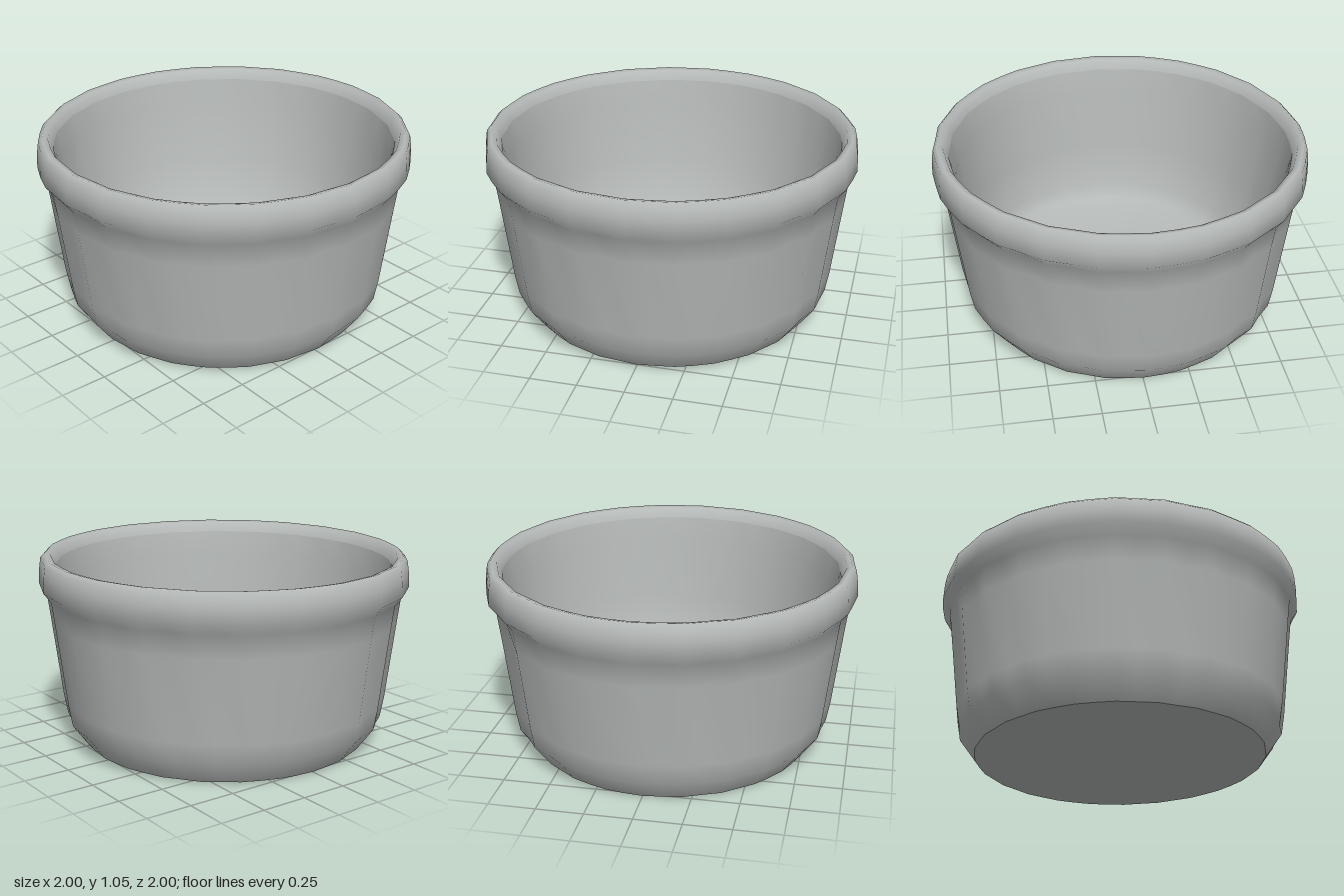
import * as THREE from 'three';
import { toCreasedNormals } from 'three/addons/utils/BufferGeometryUtils.js';

const SIDES = 48;

// Lathe a [radius, height, fluteDepth, offset] profile, then press uneven flutes into it.
function flutedLathe(rings) {
  const geometry = new THREE.LatheGeometry(rings.map(([r, y]) => new THREE.Vector2(r, y)), SIDES);
  const pos = geometry.attributes.position;
  for (let i = 0; i < pos.count; i++) {
    const [radius, height, depth, offset = 0] = rings[i % rings.length];
    const step = Math.floor(i / rings.length) % SIDES;
    const angle = (step / SIDES) * Math.PI * 2;
    const uneven = 0.65 + 0.35 * Math.sin(angle * 5 + 1);
    const r = radius * (1 - (step % 2) * depth * uneven);
    const x = r * Math.sin(angle) + offset;
    const z = r * Math.cos(angle) + offset;
    // the whole dish leans very slightly to one side
    pos.setXYZ(i, x, height + 0.01 * x, z);
  }
  geometry.deleteAttribute('normal');
  return toCreasedNormals(geometry, 1.2);
}

export function createModel() {
  const group = new THREE.Group();
  group.name = 'ramekin';
  const ceramic = new THREE.MeshStandardMaterial({ color: 0xb4b8b6 });
  ceramic.name = 'grey ceramic';

  const add = (name, rings) => {
    const mesh = new THREE.Mesh(flutedLathe(rings), ceramic);
    mesh.name = name;
    group.add(mesh);
  };

  // Flat underside, bulging slightly in the middle
  add('base', [
    [0, 0.002, 0],
    [0.4, 0.006, 0],
    [0.78, 0.016, 0.01],
  ]);

  // Chamfered foot, fluted wall and the thick rounded band at the top
  add('outerWallAndRim', [
    [0.78, 0.016, 0.01],
    [0.87, 0.14, 0.018],
    [0.89, 0.25, 0.03],
    [0.945, 0.7, 0.03],
    [0.962, 0.83, 0.018],
    [1.0, 0.88, 0.01],
    [0.996, 0.96, 0.01],
    [0.987, 1.02, 0.01],
    [0.965, 1.042, 0.01],
    [0.935, 1.035, 0.01],
    [0.91, 0.98, 0.01],
  ]);

  // Inside wall tapering down to a slightly off-centre floor
  add('innerBowl', [
    [0.91, 0.98, 0.01],
    [0.885, 0.85, 0.014],
    [0.835, 0.5, 0.014, 0.015],
    [0.765, 0.25, 0.014, 0.035],
    [0.715, 0.17, 0.012, 0.045],
    [0.64, 0.135, 0.01, 0.05],
    [0, 0.125, 0, 0.05],
  ]);

  return group;
}
